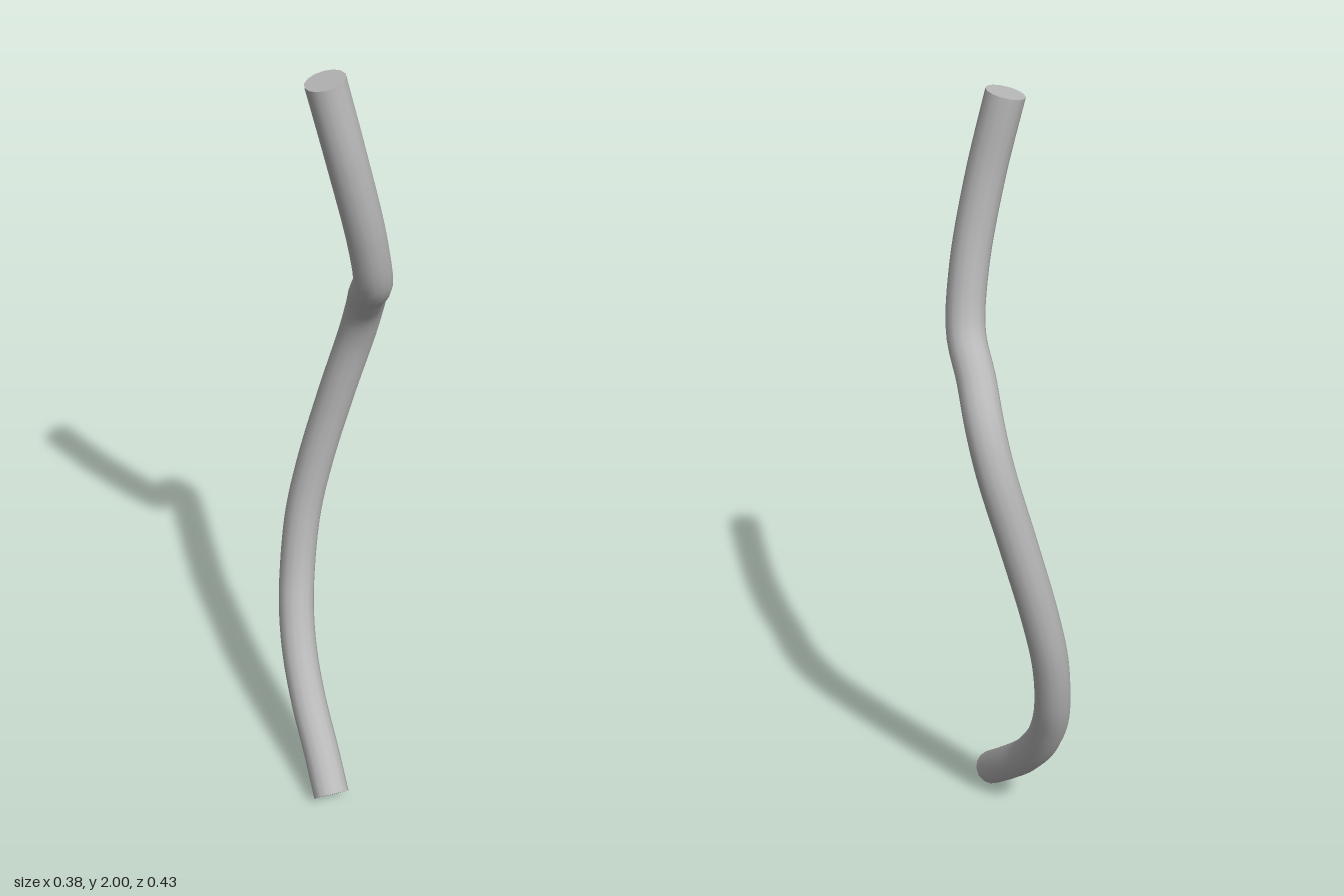
import * as THREE from 'three';

export function createModel() {
  const grey = new THREE.MeshStandardMaterial({ color: 0xb8b8b8 });
  grey.name = 'plain grey';
  const radius = 0.045, sides = 14, steps = 90;

  // Centre line of the bent rod, from the foot to the tip
  const path = new THREE.CatmullRomCurve3([
    [-0.15, 0.035, 0.185], [-0.12, 0.11, 0.105], [-0.09, 0.2, 0.015],
    [-0.06, 0.3, -0.06], [-0.03, 0.4, -0.112], [0.0, 0.5, -0.145],
    [0.035, 0.65, -0.165], [0.07, 0.8, -0.16], [0.113, 1.0, -0.132],
    [0.142, 1.2, -0.085], [0.132, 1.3, -0.045], [0.093, 1.38, 0.013],
    [0.053, 1.46, 0.078], [0.012, 1.6, 0.103], [-0.038, 1.8, 0.098],
    [-0.075, 1.99, 0.07],
  ].map((p) => new THREE.Vector3(...p)), false, 'centripetal');

  const model = new THREE.Group();
  model.name = 'bentRod';

  const rod = new THREE.Mesh(new THREE.TubeGeometry(path, steps, radius, sides), grey);
  rod.name = 'rod';
  model.add(rod);

  // Flat discs closing both ends, aligned with the tube's own rings
  const frames = path.computeFrenetFrames(steps);
  const addCap = (name, t, direction) => {
    const index = t * steps;
    const out = frames.tangents[index].clone().multiplyScalar(direction);
    const across = frames.normals[index];
    const cap = new THREE.Mesh(new THREE.CircleGeometry(radius, sides), grey);
    cap.name = name;
    cap.quaternion.setFromRotationMatrix(
      new THREE.Matrix4().makeBasis(across, out.clone().cross(across), out));
    cap.position.copy(path.getPointAt(t));
    model.add(cap);
  };
  addCap('footCap', 0, -1);
  addCap('tipCap', 1, 1);

  return model;
}
